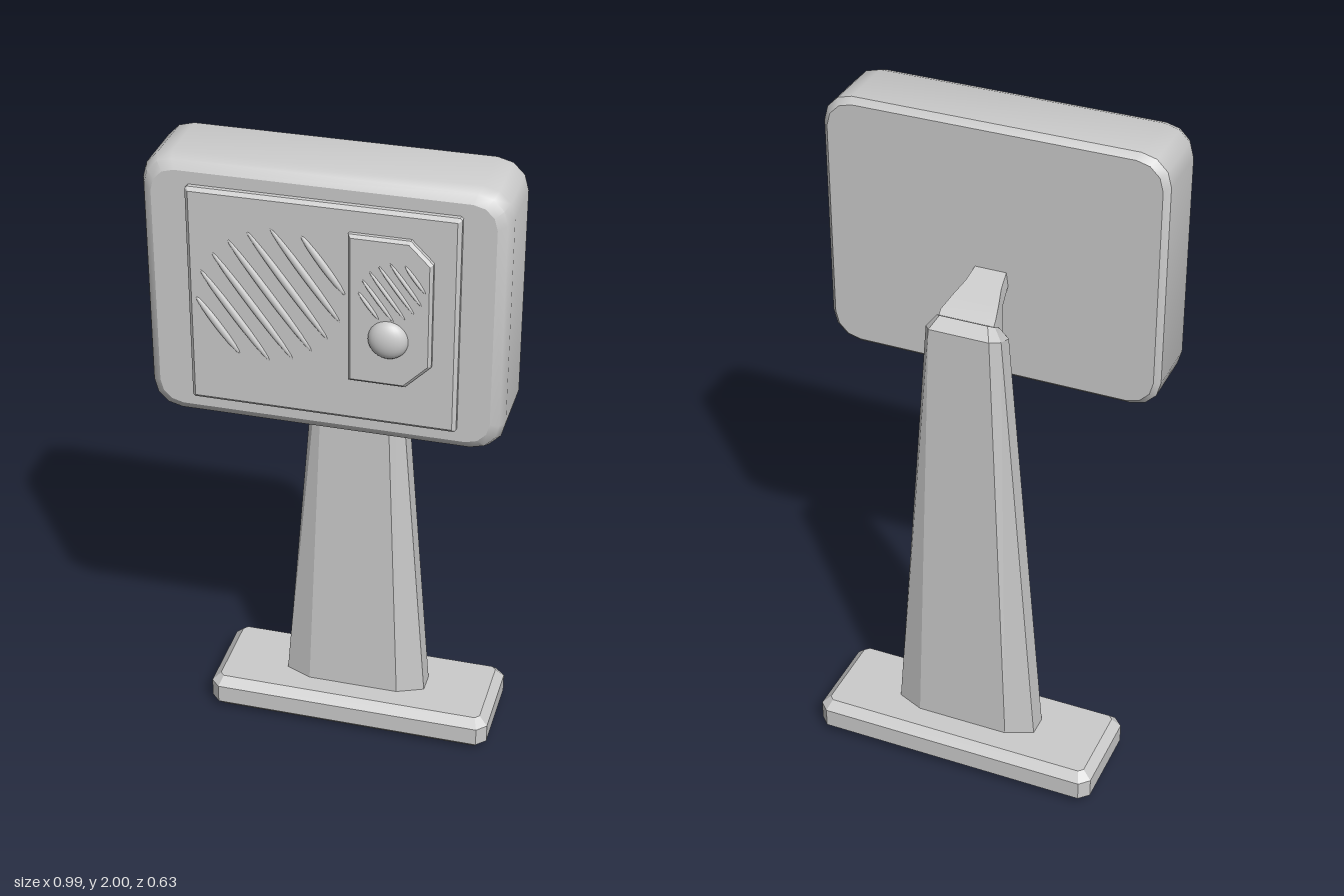
import * as THREE from 'three';
import { mergeGeometries, toCreasedNormals } from 'three/addons/utils/BufferGeometryUtils.js';

const grey = new THREE.MeshStandardMaterial({ color: 0xcccccc });

function add(parent, name, geometry, x = 0, y = 0, z = 0) {
  const mesh = new THREE.Mesh(geometry, grey);
  mesh.name = name;
  mesh.position.set(x, y, z);
  parent.add(mesh);
  return mesh;
}

// Skin between convex rings (counter-clockwise seen from the last one), with flat caps.
function loft(rings, crease = 0.6) {
  const side = [], caps = [];
  const first = rings[0], last = rings[rings.length - 1], n = first.length;
  for (let r = 0; r < rings.length - 1; r++) {
    for (let i = 0; i < n; i++) {
      const j = (i + 1) % n, a = rings[r], b = rings[r + 1];
      side.push(...a[i], ...a[j], ...b[j], ...a[i], ...b[j], ...b[i]);
    }
  }
  for (let i = 1; i < n - 1; i++) {
    caps.push(...first[0], ...first[i + 1], ...first[i]);
    caps.push(...last[0], ...last[i], ...last[i + 1]);
  }
  const make = (p) => {
    const g = new THREE.BufferGeometry();
    g.setAttribute('position', new THREE.Float32BufferAttribute(p, 3));
    g.computeVertexNormals();
    return g;
  };
  return mergeGeometries([toCreasedNormals(make(side), crease), make(caps)]);
}

// Rectangle with cut corners; extra steps round the cut.
function outline(hw, hh, cut, steps = 1) {
  const pts = [];
  const centres = [[1, 1], [-1, 1], [-1, -1], [1, -1]];
  centres.forEach(([sx, sy], q) => {
    for (let i = 0; i <= steps; i++) {
      const a = (q + i / steps) * Math.PI / 2;
      pts.push([sx * (hw - cut) + cut * Math.cos(a), sy * (hh - cut) + cut * Math.sin(a)]);
    }
  });
  return pts;
}

// Slab along z from a list of [inset, z] levels.
const slab = (hw, hh, cut, steps, levels, crease) => loft(levels.map(([inset, z]) =>
  outline(hw - inset, hh - inset, cut - inset * 0.58, steps).map(([x, y]) => [x, y, z])), crease);

// Disc-shaped grille of slanted lens-shaped slats.
function grille(name, cx, cy, z, radius, count, thick, depth) {
  const group = new THREE.Group();
  group.name = name;
  group.position.set(cx, cy, z);
  group.rotation.z = -0.93;
  for (let i = 0; i < count; i++) {
    const t = ((i + 0.5) / count) * 2 - 1;
    const slat = add(group, 'slat', new THREE.SphereGeometry(1, 20, 8), 0, t * radius, 0);
    slat.scale.set(radius * 0.92 * Math.sqrt(1 - t * t), thick, depth);
  }
  return group;
}

export function createModel() {
  const model = new THREE.Group();
  model.name = 'pedestalTerminal';

  // Foot plate with chamfered edges
  const foot = slab(0.44, 0.157, 0.028, 1,
    [[0.026, 0], [0, 0.026], [0, 0.084], [0.026, 0.11]], 0.1);
  foot.rotateX(-Math.PI / 2);
  add(model, 'footPlate', foot, 0, 0, -0.157);

  // Tapered post: half widths, front and back depth, front and back height
  const postRing = (hw, inner, front, back, yFront, yBack, edge) => {
    const y = (z) => yFront + (yBack - yFront) * (front - z) / (front - back);
    const half = [[inner, back], [hw, back + edge], [hw, front - edge], [inner, front]];
    const right = half.slice().reverse();
    const left = half.map(([x, z]) => [-x, z]);
    return [...right, ...left].map(([x, z]) => [x, y(z), z]);
  };
  add(model, 'post', loft([
    postRing(0.22, 0.14, -0.087, -0.22, 0.1, 0.1, 0.034),
    postRing(0.11, 0.088, -0.102, -0.22, 1.44, 1.483, 0.032),
    postRing(0.085, 0.07, -0.125, -0.186, 1.475, 1.512, 0.015),
  ], 0.37));

  // Bent neck from the post to the head: z, half width top, half width bottom, low, high
  const neck = [
    [-0.18, 0.08, 0.085, 1.4, 1.49], [-0.155, 0.08, 0.088, 1.4, 1.513],
    [-0.105, 0.068, 0.08, 1.44, 1.531], [-0.05, 0.053, 0.058, 1.5, 1.55],
    [0.01, 0.045, 0.05, 1.533, 1.573],
  ].map(([z, top, low, y0, y1]) => [[-low, y0, z], [low, y0, z], [top, y1, z], [-top, y1, z]]);
  add(model, 'neck', loft(neck));

  // Head housing with a soft front edge
  add(model, 'headHousing', slab(0.495, 0.385, 0.085, 3,
    [[0.016, 0], [0, 0.018], [0, 0.195], [0.012, 0.225], [0.035, 0.24]], 0.7), 0, 1.615, 0);

  // Raised front panel
  add(model, 'frontPanel', slab(0.367, 0.315, 0.006, 1,
    [[0, 0.23], [0, 0.253], [0.01, 0.262]], 0.1), 0.005, 1.615, 0);

  // Control plate with two cut corners
  const bevel = 0.008, plate = new THREE.Shape();
  plate.setFromPoints([[0.08, 1.43], [0.235, 1.43], [0.305, 1.5], [0.305, 1.8], [0.245, 1.86], [0.08, 1.86]]
    .map(([x, y]) => new THREE.Vector2(x, y)));
  add(model, 'controlPlate', new THREE.ExtrudeGeometry(plate, {
    depth: 0.02, bevelThickness: bevel, bevelSize: bevel, bevelOffset: -bevel, bevelSegments: 1,
  }), 0, 0, 0.253);

  // Domed button
  const button = add(model, 'button', new THREE.SphereGeometry(0.055, 24, 16), 0.19, 1.57, 0.277);
  button.scale.z = 0.62;

  // Speaker grilles
  model.add(grille('largeGrille', -0.135, 1.645, 0.261, 0.212, 7, 0.011, 0.009));
  model.add(grille('smallGrille', 0.198, 1.71, 0.28, 0.092, 6, 0.006, 0.007));

  return model;
}
